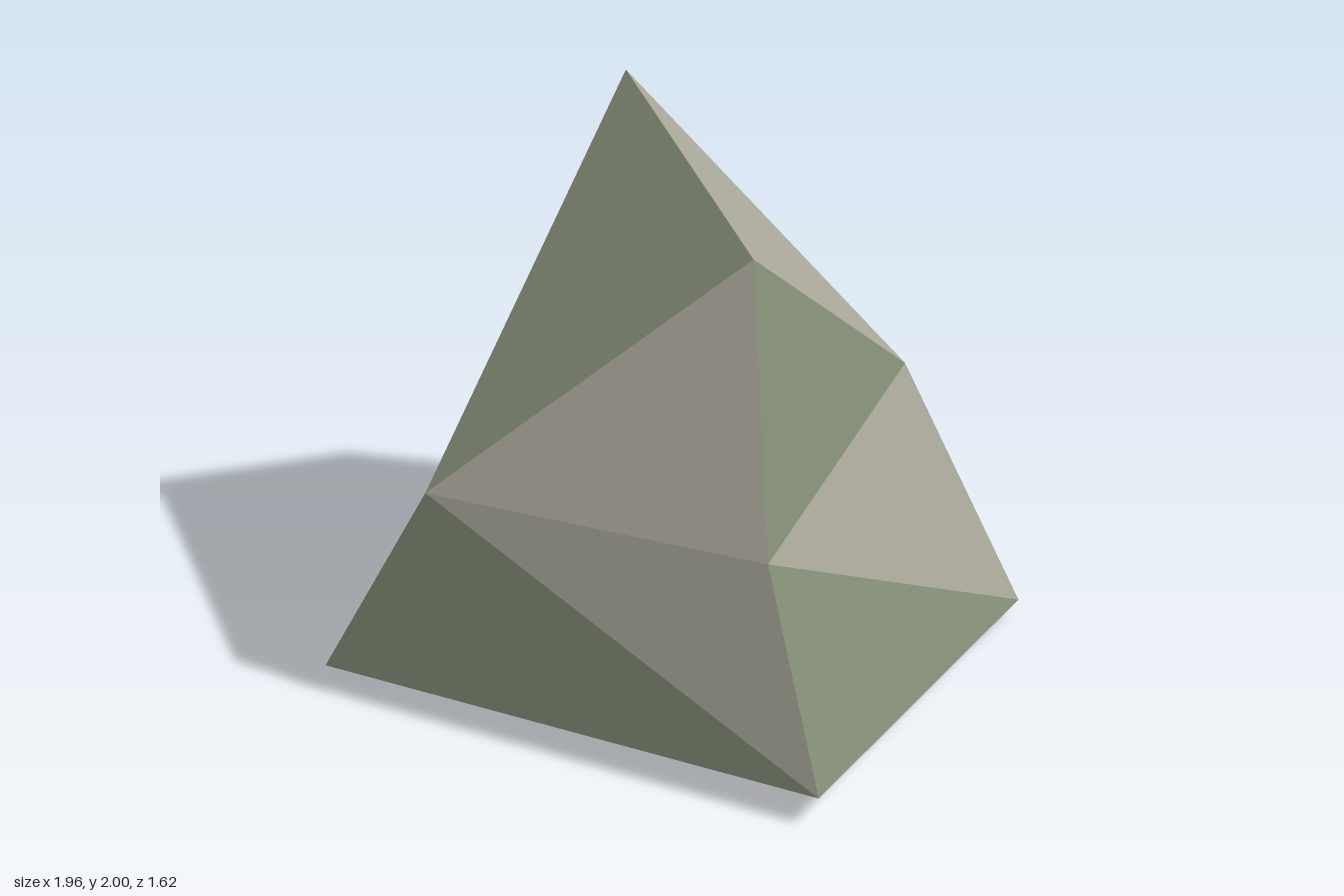
import * as THREE from 'three';

// Corner points of the boulder, in three rings from the ground up
const P = {
  // base ring
  A: [-0.85, 0.09, 0.81], B: [0.98, 0.11, 0.65], C: [0.82, 0.06, -0.81], D: [-0.98, 0, -0.7],
  // shoulder ring
  E: [-0.53, 0.81, 0.7], F: [0.71, 0.87, 0.54], G: [0.55, 1.03, -0.54], H: [-0.8, 0.95, -0.6],
  // top ridge
  I: [-0.37, 2, -0.27], J: [0.44, 1.79, 0.21],
};

// Facets by colour, corners counter-clockwise from outside
const mossFacets = ['ABE', 'EJI', 'BCF', 'FGJ', 'CDG', 'GHI', 'DAH', 'ADB'];
const stoneFacets = ['EBF', 'EFJ', 'FCG', 'JGI', 'GDH', 'HAE', 'HEI', 'BDC'];

function facetMesh(name, facets, material) {
  const positions = facets.flatMap((f) => [...f].flatMap((c) => P[c]));
  const geometry = new THREE.BufferGeometry();
  geometry.setAttribute('position', new THREE.Float32BufferAttribute(positions, 3));
  geometry.computeVertexNormals(); // unshared corners give flat facets
  const mesh = new THREE.Mesh(geometry, material);
  mesh.name = name;
  return mesh;
}

export function createModel() {
  const moss = new THREE.MeshStandardMaterial({ color: 0x858f78 });
  moss.name = 'moss green';
  const stone = new THREE.MeshStandardMaterial({ color: 0xaba99b });
  stone.name = 'pale stone';

  const rock = new THREE.Group();
  rock.name = 'rock';
  rock.add(
    facetMesh('mossyFacets', mossFacets, moss),
    facetMesh('stoneFacets', stoneFacets, stone),
  );
  return rock;
}
